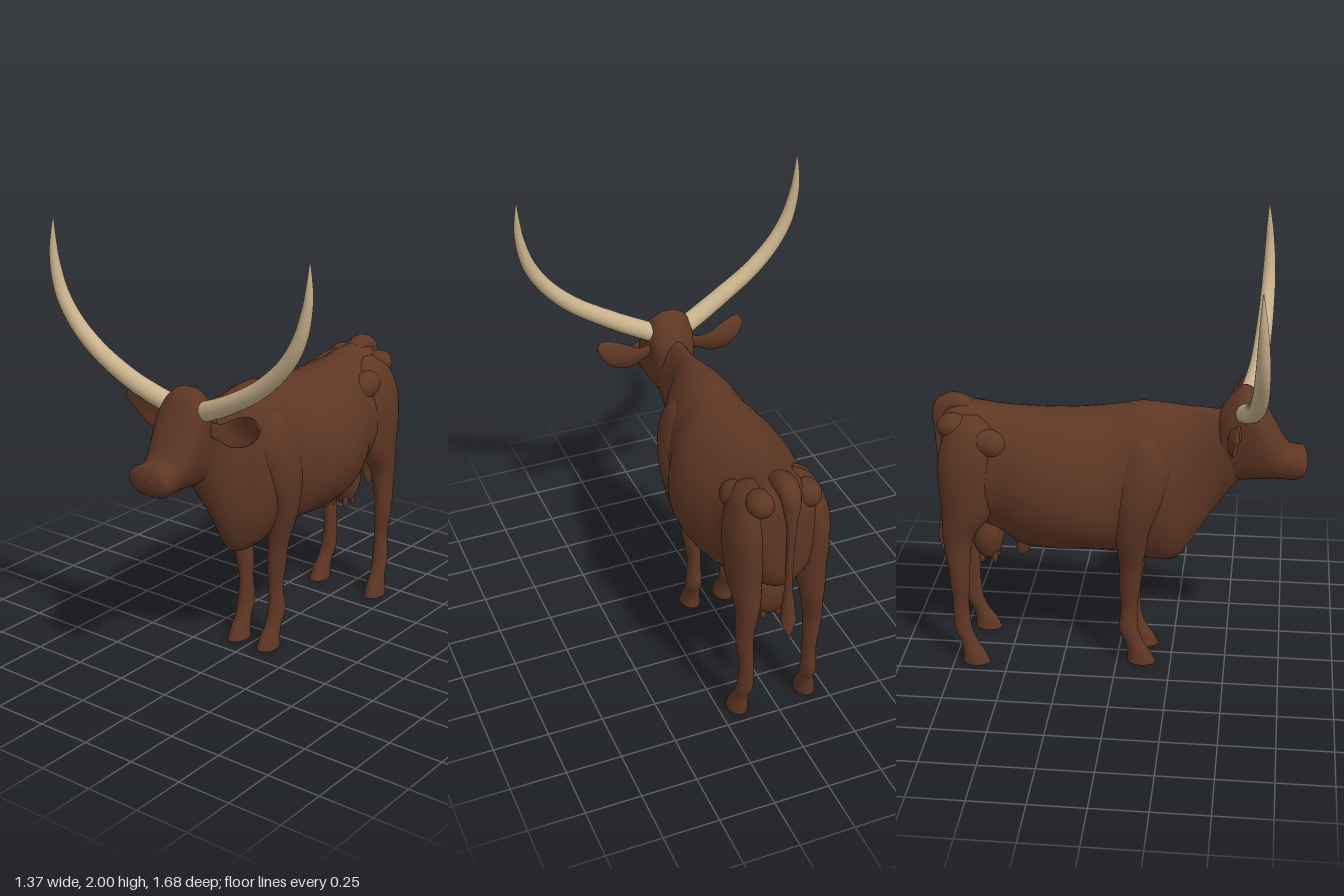
import * as THREE from 'three';

const hide = new THREE.MeshStandardMaterial({ color: 0x5e3624 });
hide.name = 'brown hide';
const hornMat = new THREE.MeshStandardMaterial({ color: 0xc9b28c });
hornMat.name = 'pale horn';

// Uniform Catmull-Rom between rows of numbers
function refine(rows, steps) {
  const out = [];
  const at = i => rows[Math.max(0, Math.min(rows.length - 1, i))];
  for (let i = 0; i < rows.length - 1; i++) {
    for (let s = 0; s < steps; s++) {
      const t = s / steps;
      out.push(at(i).map((b, k) => {
        const a = at(i - 1)[k], c = at(i + 1)[k], d = at(i + 2)[k];
        return b + 0.5 * t * (c - a + t * (2 * a - 5 * b + 4 * c - d + t * (3 * (b - c) + d - a)));
      }));
    }
  }
  out.push(rows[rows.length - 1]);
  return out;
}

// Closed skin through oval sections: [t, centreA, centreB, radiusA, radiusB up, radiusB down]
function loft(rows, place, power = 1, sides = 32) {
  const rings = refine(rows, 5), pos = [], idx = [];
  const addRing = r => {
    for (let j = 0; j < sides; j++) {
      const a = (j / sides) * Math.PI * 2, c = Math.cos(a), s = Math.sin(a);
      const x = r[1] + r[3] * Math.sign(c) * Math.abs(c) ** power;
      const y = r[2] + (s > 0 ? r[4] : r[5]) * s;
      pos.push(...place(x, y, r[0]));
    }
  };
  rings.forEach(addRing);
  for (let i = 0; i < rings.length - 1; i++) {
    for (let j = 0; j < sides; j++) {
      const a = i * sides + j, b = i * sides + (j + 1) % sides;
      idx.push(a, b, b + sides, a, b + sides, a + sides);
    }
  }
  // End caps with their own ring, so the rim stays sharp
  [rings[0], rings[rings.length - 1]].forEach((r, end) => {
    const base = pos.length / 3;
    addRing(r);
    pos.push(...place(r[1], r[2], r[0]));
    for (let j = 0; j < sides; j++) {
      const a = base + j, b = base + (j + 1) % sides;
      idx.push(base + sides, ...(end ? [a, b] : [b, a]));
    }
  });
  // Turn every face outward
  const p = i => new THREE.Vector3().fromArray(pos, i * 3);
  let volume = 0;
  for (let i = 0; i < idx.length; i += 3) volume += p(idx[i]).dot(p(idx[i + 1]).cross(p(idx[i + 2])));
  if (volume < 0) idx.reverse();
  const g = new THREE.BufferGeometry();
  g.setAttribute('position', new THREE.Float32BufferAttribute(pos, 3));
  g.setIndex(idx);
  g.computeVertexNormals();
  return g;
}

// Tube whose radius follows a list of values along its length
function taperedTube(points, radii, widen = 1) {
  const curve = new THREE.CatmullRomCurve3(points.map(p => new THREE.Vector3(...p)));
  const segs = 60, sides = 20;
  const g = new THREE.TubeGeometry(curve, segs, 1, sides);
  const pos = g.attributes.position, v = new THREE.Vector3();
  for (let i = 0; i <= segs; i++) {
    const c = curve.getPointAt(i / segs);
    const f = (i / segs) * (radii.length - 1), k = Math.min(Math.floor(f), radii.length - 2);
    const r = THREE.MathUtils.lerp(radii[k], radii[k + 1], f - k);
    for (let j = 0; j <= sides; j++) {
      const n = i * (sides + 1) + j;
      v.fromBufferAttribute(pos, n).sub(c).multiplyScalar(r);
      v.x *= widen;
      v.add(c);
      pos.setXYZ(n, v.x, v.y, v.z);
    }
  }
  return g;
}

export function createModel() {
  const model = new THREE.Group();
  model.name = 'longHornedCow';
  const add = (name, geo, mat = hide) => {
    const m = new THREE.Mesh(geo, mat);
    m.name = name;
    model.add(m);
    return m;
  };
  const blob = (name, c, r, tilt = 0) => {
    const m = add(name, new THREE.SphereGeometry(1, 28, 20));
    m.position.set(...c);
    m.scale.set(...r);
    m.rotation.x = tilt;
  };
  const alongZ = (x, y, t) => [x, y, t];
  // Rows given as z, top, widest height, bottom, half width
  const trunkRows = rows => rows.map(([z, top, mid, bot, w]) => [z, 0, mid, w, top - mid, mid - bot]);

  // Trunk, brisket and neck
  add('body', loft(trunkRows([
    [-0.795, 1.14, 1.05, 0.92, 0.05], [-0.78, 1.2, 1.02, 0.78, 0.13], [-0.73, 1.245, 0.98, 0.7, 0.18],
    [-0.64, 1.245, 0.95, 0.67, 0.205], [-0.53, 1.23, 0.92, 0.62, 0.215], [-0.42, 1.222, 0.89, 0.555, 0.255],
    [-0.27, 1.22, 0.87, 0.548, 0.285], [-0.12, 1.232, 0.87, 0.553, 0.275], [0, 1.252, 0.89, 0.54, 0.218],
    [0.1, 1.272, 0.9, 0.515, 0.2], [0.2, 1.268, 0.9, 0.498, 0.183], [0.27, 1.262, 0.9, 0.515, 0.145],
    [0.32, 1.258, 0.93, 0.58, 0.105], [0.38, 1.255, 0.98, 0.68, 0.085], [0.45, 1.25, 1.05, 0.79, 0.082],
    [0.52, 1.26, 1.1, 0.89, 0.085], [0.57, 1.25, 1.12, 0.94, 0.07],
  ]), alongZ, 1.12, 40));

  // Head, poll to muzzle
  add('head', loft(trunkRows([
    [0.44, 1.22, 1.13, 1.04, 0.05], [0.46, 1.265, 1.15, 0.97, 0.08], [0.5, 1.32, 1.2, 0.93, 0.1],
    [0.55, 1.36, 1.22, 0.92, 0.112], [0.6, 1.335, 1.2, 0.925, 0.12], [0.65, 1.265, 1.14, 0.93, 0.117],
    [0.7, 1.18, 1.06, 0.935, 0.104], [0.745, 1.105, 1.02, 0.935, 0.093], [0.78, 1.085, 1.01, 0.935, 0.1],
    [0.815, 1.08, 1.015, 0.952, 0.105], [0.833, 1.06, 1.015, 0.972, 0.088], [0.842, 1.03, 1.015, 0.995, 0.04],
  ]), alongZ, 0.8));

  for (const side of [1, -1]) {
    const tag = side > 0 ? 'left' : 'right';
    const alongY = (x, z, t) => [x * side, t, z];
    // Rows given as y, x, z, radius x, radius z
    const legRows = rows => rows.map(([y, x, z, rx, rz]) => [y, x, z, rx, rz, rz]);

    add(tag + 'ForeLeg', loft(legRows([
      [1.17, 0.09, 0.12, 0.02, 0.02], [1.12, 0.115, 0.125, 0.055, 0.075], [1, 0.138, 0.12, 0.075, 0.12],
      [0.85, 0.15, 0.1, 0.078, 0.11], [0.7, 0.142, 0.075, 0.066, 0.08], [0.6, 0.125, 0.07, 0.054, 0.066],
      [0.5, 0.105, 0.066, 0.043, 0.053], [0.39, 0.092, 0.06, 0.039, 0.049], [0.28, 0.085, 0.057, 0.031, 0.038],
      [0.17, 0.088, 0.055, 0.038, 0.045], [0.1, 0.086, 0.08, 0.036, 0.042], [0.05, 0.085, 0.102, 0.042, 0.053],
      [0, 0.085, 0.115, 0.047, 0.065],
    ]), alongY));

    add(tag + 'HindLeg', loft(legRows([
      [1.21, 0.09, -0.65, 0.02, 0.03], [1.16, 0.115, -0.65, 0.065, 0.1], [1.04, 0.142, -0.66, 0.082, 0.13],
      [0.9, 0.15, -0.665, 0.082, 0.128], [0.76, 0.15, -0.672, 0.072, 0.112], [0.66, 0.15, -0.708, 0.058, 0.078],
      [0.58, 0.153, -0.718, 0.047, 0.062], [0.48, 0.16, -0.714, 0.041, 0.049], [0.4, 0.158, -0.713, 0.037, 0.045],
      [0.3, 0.15, -0.715, 0.031, 0.037], [0.17, 0.153, -0.708, 0.037, 0.04], [0.1, 0.158, -0.68, 0.036, 0.039],
      [0.05, 0.163, -0.66, 0.042, 0.052], [0, 0.165, -0.648, 0.046, 0.063],
    ]), alongY));

    // Hip and pin bones under the skin
    blob(tag + 'HipBone', [0.145 * side, 1.1, -0.56], [0.06, 0.065, 0.09], 0.3);
    blob(tag + 'PinBone', [0.105 * side, 1.16, -0.73], [0.06, 0.06, 0.07]);

    // Thin cupped ear: rows of x, z, top, bottom
    add(tag + 'Ear', loft([
      [0.09, 0.54, 1.22, 1.16], [0.15, 0.522, 1.215, 1.14], [0.2, 0.503, 1.24, 1.123],
      [0.26, 0.5, 1.268, 1.133], [0.31, 0.508, 1.28, 1.163], [0.342, 0.52, 1.275, 1.2], [0.358, 0.528, 1.25, 1.23],
    ].map(([x, z, top, bot]) => [x, z, (top + bot) / 2, 0.011, (top - bot) / 2, (top - bot) / 2]),
    (z, y, t) => [t * side, y, z + 10 * (y - 1.2) ** 2 * 0.4], 1, 24));

    // Long horn sweeping out and up
    add(tag + 'Horn', taperedTube([
      [0.08, 1.262, 0.56], [0.18, 1.305, 0.585], [0.28, 1.355, 0.605], [0.44, 1.455, 0.622], [0.555, 1.566, 0.631],
      [0.625, 1.68, 0.635], [0.662, 1.82, 0.633], [0.668, 1.92, 0.629], [0.666, 2, 0.625],
    ].map(([x, y, z]) => [x * side, y, z]),
    [0.044, 0.043, 0.041, 0.039, 0.037, 0.034, 0.031, 0.025, 0.016, 0.002]), hornMat);

    // Teats
    for (const z of [-0.57, -0.63]) blob(tag + 'Teat', [0.035 * side, 0.485, z], [0.014, 0.035, 0.014]);
  }

  // Udder and belly fold
  blob('udder', [0, 0.6, -0.605], [0.085, 0.135, 0.075]);
  blob('bellyFold', [0, 0.55, -0.435], [0.028, 0.07, 0.035], 0.3);

  // Tail with a tuft
  add('tail', taperedTube([
    [0, 1.21, -0.67], [0, 1.235, -0.74], [0, 1.21, -0.795], [0, 1.1, -0.812], [0, 0.9, -0.807],
    [0, 0.72, -0.8], [0, 0.58, -0.81], [0, 0.48, -0.82],
  ], [0.045, 0.043, 0.034, 0.02, 0.016, 0.015, 0.014, 0.014, 0.024, 0.03, 0.001], 1.2));

  return model;
}
